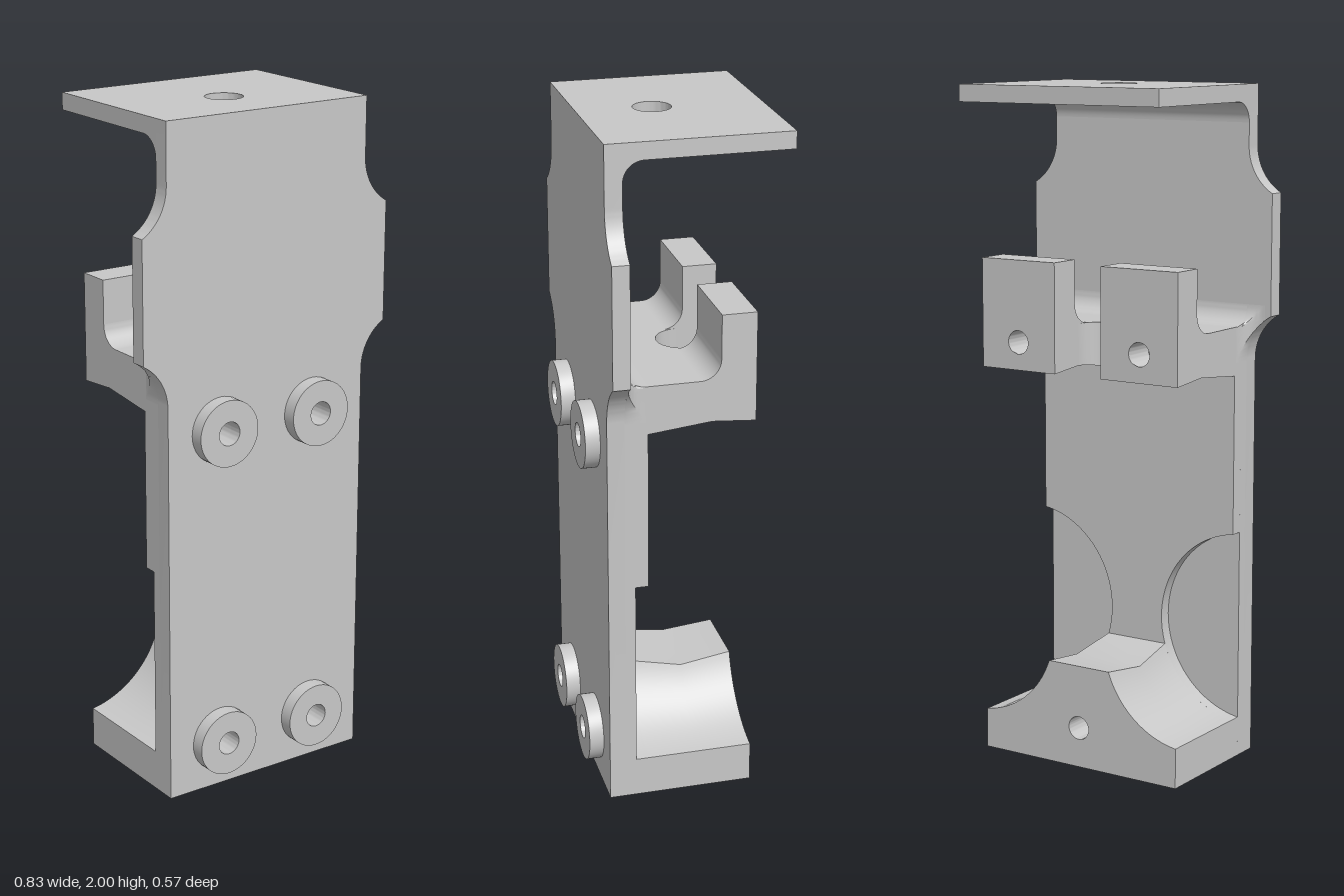
import * as THREE from 'three';
import { toCreasedNormals } from 'three/addons/utils/BufferGeometryUtils.js';

const HALF = 0.338, FRONT = 0.243, WALL = 0.193, POCKET = 0.163, INNER = 0.125, BACK = -0.187;
const SHELF = 1.306, FILLET = 0.06;

// points along an arc from angle a to angle b
function arc(cx, cy, r, a, b, n = 20) {
  return Array.from({ length: n + 1 }, (_, i) => {
    const t = a + (b - a) * i / n;
    return [cx + r * Math.cos(t), cy + r * Math.sin(t)];
  });
}
// shape from a list of points, with optional round holes [x, y, r]
function shapeOf(pts, holes = []) {
  const s = new THREE.Shape(pts.map(p => new THREE.Vector2(p[0], p[1])));
  for (const [x, y, r] of holes) s.holes.push(new THREE.Path().absarc(x, y, r, 0, Math.PI * 2, true));
  return s;
}
const rect = (x0, y0, x1, y1) => [[x0, y0], [x1, y0], [x1, y1], [x0, y1]];
// closes a right-hand outline with its mirror image
const mirrored = pts => [...pts, ...pts.map(([x, y]) => [-x, y]).reverse()];
const extrude = (shape, depth, steps = 1) =>
  new THREE.ExtrudeGeometry(shape, { depth, steps, bevelEnabled: false, curveSegments: 32 });
// extrusions along z, x (outline in z,y) and y (outline in x,z)
const alongZ = (shape, z0, z1, steps) => extrude(shape, z1 - z0, steps).translate(0, 0, z0);
const alongX = (shape, x0, x1) => extrude(shape, x1 - x0).rotateY(-Math.PI / 2).translate(x1, 0, 0);
const alongY = (shape, y0, y1) => extrude(shape, y1 - y0).rotateX(Math.PI / 2).translate(0, y1, 0);

function reshape(geo, rule) {
  const p = geo.attributes.position, v = new THREE.Vector3();
  for (let i = 0; i < p.count; i++) {
    rule(v.fromBufferAttribute(p, i));
    p.setXYZ(i, v.x, v.y, v.z);
  }
  geo.computeVertexNormals();
  return geo;
}

export function createModel() {
  const group = new THREE.Group();
  const metal = new THREE.MeshStandardMaterial({ color: 0xc8c8c8 });
  metal.name = 'light grey metal';
  const add = (name, geo) => {
    const mesh = new THREE.Mesh(toCreasedNormals(geo, 0.5), metal);
    mesh.name = name;
    group.add(mesh);
  };
  const PI = Math.PI;

  // front plate with side wings and screw holes
  const screws = [[-0.16, 0.147], [0.16, 0.147], [-0.16, 1.106], [0.16, 1.106]];
  const wingR = 0.155, wingA = 1.057;
  const outline = mirrored([
    [HALF, 0],
    ...arc(HALF + wingR, 1.2, wingR, PI, PI - wingA),
    ...arc(HALF + wingR, 1.825, wingR, PI + wingA, PI),
    [HALF, 2],
  ]);
  add('frontPlate', alongZ(shapeOf(outline, screws.map(([x, y]) => [x, y, 0.035])), WALL, FRONT));

  // round screw bosses
  for (const [x, y] of screws)
    add('screwBoss', alongZ(shapeOf(arc(x, y, 0.098, 0, 2 * PI, 48).slice(0, -1), [[x, y, 0.035]]), FRONT, 0.286));

  // thick lower wall, its inner layer cut by two round pockets
  const cx = 0.378, cy = 0.405, R = 0.288;
  const a0 = -Math.atan2(0.285, HALF - cx);
  add('lowerWall', alongZ(shapeOf(rect(-HALF, 0, HALF, 1.163)), POCKET, WALL));
  add('pocketWall', alongZ(shapeOf(mirrored([
    [HALF, 0], ...arc(cx, cy, R, a0, -2 * PI - a0, 40), [HALF, 1.163],
  ])), INNER, POCKET));

  // foot block with scooped shoulders and a shallow valley on top
  const top = 0.32;
  const footPts = mirrored([[HALF, 0], ...arc(cx, cy, R, a0, -PI + Math.asin((cy - top) / R))]);
  add('footBlock', reshape(alongZ(shapeOf(footPts, [[0, 0.12, 0.035]]), BACK, INNER, 2), v => {
    if (Math.abs(v.x) < 0.05 || v.y < 0.121) return;
    const h = v.z > 0.1 ? 0.32 : v.z > -0.1 ? 0.29 : 0.31;
    v.y = 0.12 + (v.y - 0.12) * (h - 0.12) / (top - 0.12);
    v.x = Math.sign(v.x) * (cx - Math.sqrt(R * R - (v.y - cy) ** 2));
  }));

  // shelf root, filleted into the front plate
  const rootZ = WALL - FILLET, rootY = SHELF + FILLET;
  add('shelfRoot', alongX(shapeOf([
    [INNER, 1.163], [WALL, 1.163], ...arc(rootZ, rootY, FILLET, 0, -PI / 2, 12), [INNER, SHELF],
  ]), -HALF, HALF));

  // underside height of the shelf
  const under = z => z > -0.06 ? 1.183 - 0.02 * (z + 0.06) / 0.185 : 1.183 + 0.01 * (z + 0.06) / 0.127;

  // shelf centre, ending in a round slot
  const slot = 0.08;
  add('shelfCentre', reshape(alongY(shapeOf([
    [-slot, INNER], ...arc(0, -0.065, slot, PI, 0, 28), [slot, INNER],
  ]), 1.1, SHELF), v => { if (v.y < 1.2) v.y = under(v.z); }));

  for (const s of [-1, 1]) {
    const x0 = s > 0 ? slot : -HALF, x1 = s > 0 ? HALF : -slot;
    // shelf arm with its inner fillet
    add('shelfArm', alongX(shapeOf([
      [-0.085, under(-0.085)], [-0.06, under(-0.06)], [INNER, under(INNER)], [INNER, SHELF],
      ...arc(-0.085 + FILLET, rootY, FILLET, -PI / 2, -PI, 12),
    ]), x0, x1));
    // upright lug with a blind hole in the back
    add('uprightLug', reshape(alongZ(shapeOf(rect(x0, 1.1, x1, 1.496), [[s * 0.21, 1.255, 0.035]]), BACK, -0.085),
      v => { if (v.y < 1.15) v.y = under(v.z); }));

    // curved gusset between the shelf side and the wing
    const n = 10;
    add('wingGusset', reshape(new THREE.PlaneGeometry(1, 1, n, 16), v => {
      const u = s > 0 ? 0.5 - v.x : 0.5 + v.x;
      const y = 1.2 + (rootY - 1.2) * (v.y + 0.5);
      const wing = HALF + wingR - Math.sqrt(wingR ** 2 - Math.min(y - 1.2, 0.135) ** 2);
      const x = HALF + Math.min(wing - HALF, FILLET) * Math.min(1, u * n / (n - 1));
      const bend = d => rootZ + Math.sqrt(Math.max(0, FILLET ** 2 - d ** 2));
      const root = y > SHELF ? bend(rootY - y) : 0;
      v.set(s * x, y, u > 0.99 ? WALL : Math.max(bend(x - HALF - FILLET), root));
    }).toNonIndexed());
  }

  // top flange with its hole, and the fillet under it
  add('topFlange', alongY(shapeOf(rect(-HALF, -0.287, HALF, WALL), [[0, 0.027, 0.055]]), 1.95, 2));
  add('flangeFillet', alongX(shapeOf([
    [WALL, 1.95], ...arc(rootZ, 1.95 - FILLET, FILLET, PI / 2, 0, 12),
  ]), -HALF, HALF));

  return group;
}
